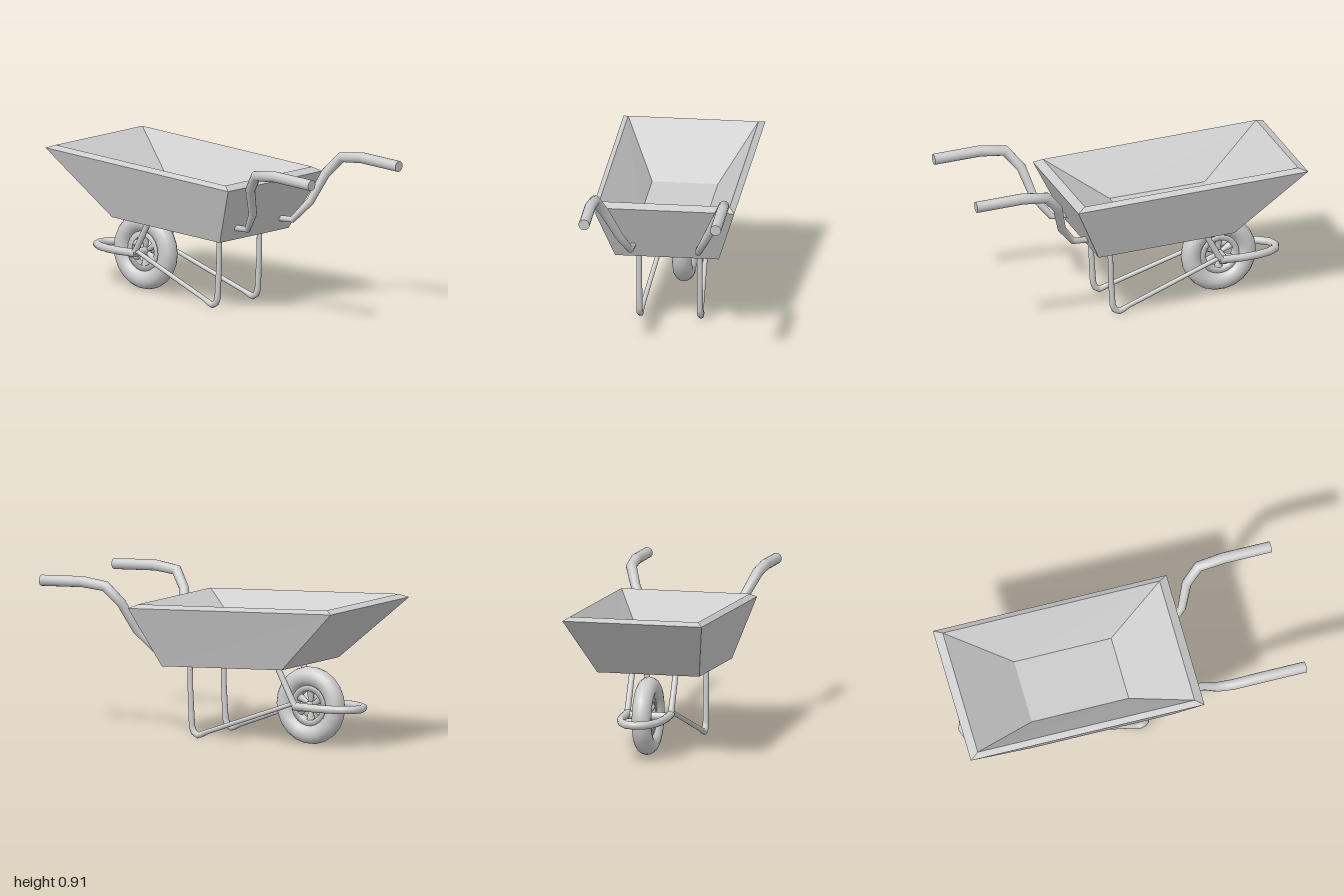
import * as THREE from 'three';

const material = new THREE.MeshStandardMaterial({ color: 0xcccccc });
const V = (x, y, z) => new THREE.Vector3(x, y, z);

function add(parent, name, geometry) {
  const mesh = new THREE.Mesh(geometry, material);
  mesh.name = name;
  parent.add(mesh);
  return mesh;
}

// Bent pipe through points [x, y, z, radius], with mitred rings and capped ends
function pipe(points, sides = 14) {
  const p = points.map(([x, y, z]) => V(x, y, z));
  const last = p.length - 1;
  const position = [], index = [];
  let side = null;
  p.forEach((c, i) => {
    const before = c.clone().sub(p[Math.max(i - 1, 0)]).normalize();
    const after = p[Math.min(i + 1, last)].clone().sub(c).normalize();
    const t = before.add(after).normalize();
    side ??= Math.abs(t.x) < 0.9 ? V(1, 0, 0) : V(0, 1, 0);
    side = side.clone().addScaledVector(t, -side.dot(t)).normalize();
    const up = t.clone().cross(side);
    for (let k = 0; k < sides; k++) {
      const a = k / sides * Math.PI * 2;
      const q = c.clone().addScaledVector(side, Math.cos(a) * points[i][3])
        .addScaledVector(up, Math.sin(a) * points[i][3]);
      position.push(q.x, q.y, q.z);
    }
  });
  for (let i = 0; i < last; i++) for (let k = 0; k < sides; k++) {
    const a = i * sides + k, b = i * sides + (k + 1) % sides;
    index.push(a, b, b + sides, a, b + sides, a + sides);
  }
  // Caps use their own vertices so the end edges stay sharp
  for (const end of [0, last]) {
    const start = position.length / 3;
    position.push(...position.slice(end * sides * 3, (end + 1) * sides * 3));
    for (let k = 1; k < sides - 1; k++)
      index.push(start, ...(end ? [start + k, start + k + 1] : [start + k + 1, start + k]));
  }
  const g = new THREE.BufferGeometry();
  g.setAttribute('position', new THREE.Float32BufferAttribute(position, 3));
  g.setIndex(index);
  g.computeVertexNormals();
  return g;
}

// Tray: rectangular loops from the recessed underside, over the rim, down to the inner floor
function trayGeometry() {
  // half width, front z, front y, back z, back y
  const loops = [
    [0.30, 0.23, 0.468, -0.59, 0.512],
    [0.30, 0.23, 0.423, -0.59, 0.468],
    [0.41, 0.39, 0.759, -1.0, 0.837],
    [0.377, 0.34, 0.783, -0.95, 0.855],
    [0.19, 0.0, 0.568, -0.577, 0.595],
  ].map(([w, fz, fy, bz, by]) => [V(w, fy, fz), V(w, by, bz), V(-w, by, bz), V(-w, fy, fz)]);
  const position = [];
  const quad = (a, b, c, d) => [a, b, c, a, c, d].forEach(v => position.push(v.x, v.y, v.z));
  for (let i = 0; i < loops.length - 1; i++) for (let k = 0; k < 4; k++) {
    const n = (k + 1) % 4;
    quad(loops[i][k], loops[i][n], loops[i + 1][n], loops[i + 1][k]);
  }
  quad(...loops.at(-1));
  quad(...[...loops[0]].reverse());
  const g = new THREE.BufferGeometry();
  g.setAttribute('position', new THREE.Float32BufferAttribute(position, 3));
  g.computeVertexNormals();
  return g;
}

export function createModel() {
  const model = new THREE.Group();
  model.name = 'wheelbarrow';
  add(model, 'tray', trayGeometry());

  for (const [s, label] of [[1, 'left'], [-1, 'right']]) {
    const side = (name, points) => add(model, label + name,
      pipe(points.map(([x, y, z, r]) => [x * s, y, z, r])));

    // Bent handle thickening into the grip
    side('Handle', [
      [0.192, 0.497, 0.20, 0.018], [0.196, 0.502, 0.35, 0.019], [0.249, 0.61, 0.437, 0.024],
      [0.328, 0.77, 0.487, 0.028], [0.373, 0.868, 0.57, 0.031], [0.38, 0.883, 0.72, 0.032],
      [0.38, 0.868, 1.0, 0.032],
    ]);
    // Leg with foot bend and brace running to the axle
    side('Leg', [
      [0.175, 0.48, 0.12, 0.015], [0.175, 0.25, 0.115, 0.016], [0.175, 0.07, 0.105, 0.018],
      [0.175, 0.036, 0.092, 0.019], [0.175, 0.021, 0.065, 0.019], [0.174, 0.029, 0.04, 0.017],
      [0.17, 0.045, 0.005, 0.014], [0.128, 0.248, -0.55, 0.013],
    ]);
    // Strut from the axle up into the underside of the tray
    side('Strut', [[0.128, 0.235, -0.575, 0.019], [0.128, 0.26, -0.555, 0.018], [0.128, 0.52, -0.413, 0.017]]);
  }

  // Guard bar curving round the front of the wheel
  const half = [
    [0.125, 0.235, -0.56, 0.023], [0.125, 0.233, -0.70, 0.023], [0.115, 0.233, -0.79, 0.023],
    [0.092, 0.233, -0.865, 0.023], [0.055, 0.233, -0.918, 0.023],
  ];
  add(model, 'wheelGuard', pipe([...half, [0, 0.233, -0.938, 0.023],
    ...half.map(([x, ...rest]) => [-x, ...rest]).reverse()]));

  // Wheel, with its axis turned along x
  const wheel = new THREE.Group();
  wheel.name = 'wheel';
  wheel.position.set(0, 0.228, -0.595);
  wheel.rotation.y = Math.PI / 2;
  model.add(wheel);
  add(wheel, 'tyre', new THREE.TorusGeometry(0.168, 0.057, 16, 22));
  const ring = [[0.085, -0.025], [0.118, -0.025], [0.118, 0.025], [0.085, 0.025], [0.085, -0.025]];
  const rim = new THREE.LatheGeometry(ring.map(([r, y]) => new THREE.Vector2(r, y)), 22);
  add(wheel, 'rim', rim).rotation.x = Math.PI / 2;
  add(wheel, 'axle', new THREE.CylinderGeometry(0.024, 0.024, 0.25, 14)).rotation.x = Math.PI / 2;
  for (let i = 0; i < 6; i++) {
    const a = i * Math.PI / 3;
    const spoke = add(wheel, 'spoke', new THREE.CylinderGeometry(0.026, 0.01, 0.08, 8));
    spoke.position.set(-Math.sin(a) * 0.05, Math.cos(a) * 0.05, 0);
    spoke.rotation.z = a;
  }
  return model;
}
